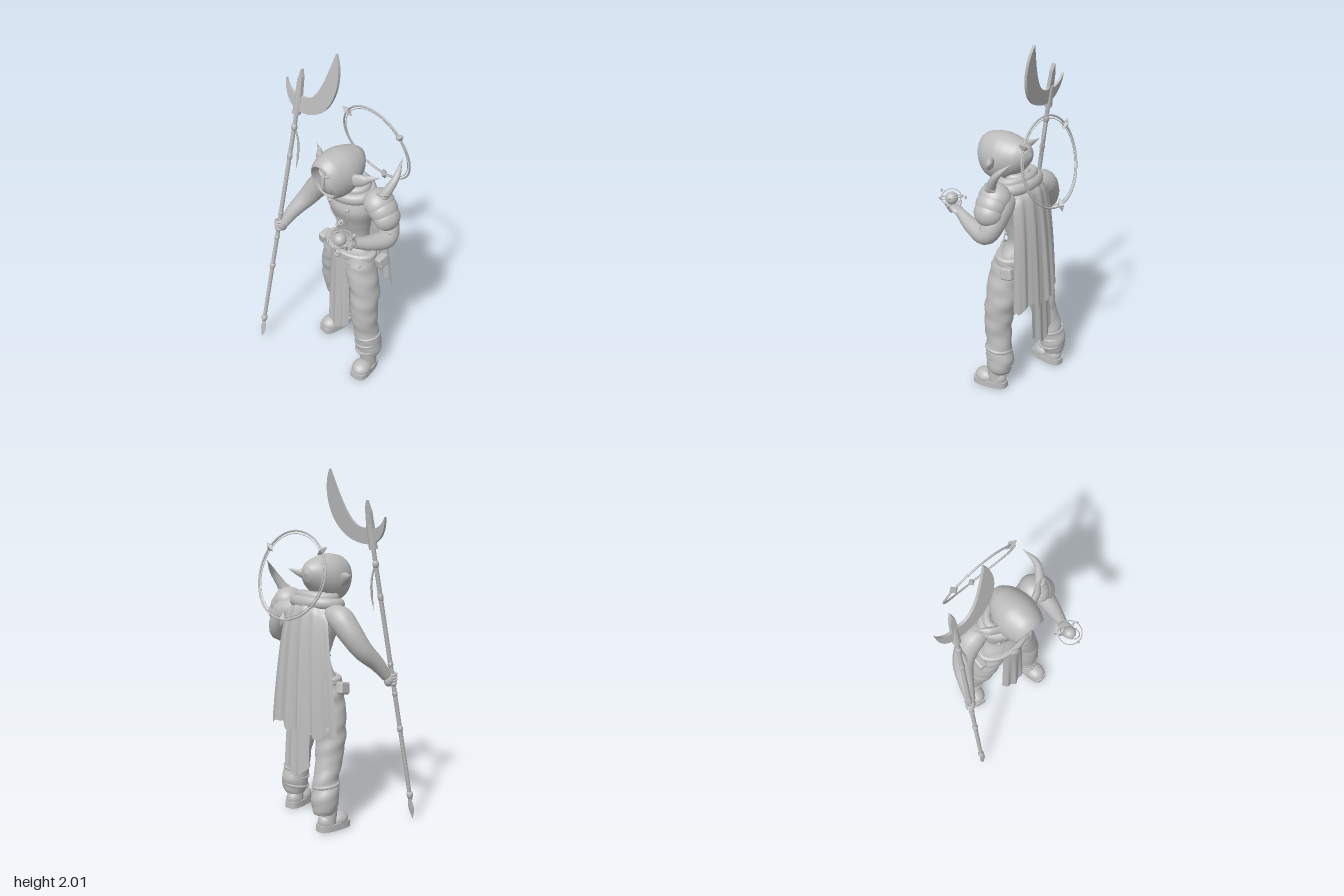
import * as THREE from 'three';
import { mergeVertices } from 'three/addons/utils/BufferGeometryUtils.js';
import { RoundedBoxGeometry } from 'three/addons/geometries/RoundedBoxGeometry.js';

const grey = new THREE.MeshStandardMaterial({ color: 0xbcbcbc, side: THREE.DoubleSide });
grey.name = 'grey';
const V = (p) => new THREE.Vector3(...p);
const CX = 0.065; // body centre line

export function createModel() {
  const model = new THREE.Group();
  model.name = 'hoodedStaffBearer';

  const add = (name, geo, pos = [0, 0, 0], rot = [0, 0, 0], scale = [1, 1, 1], parent = model) => {
    const m = new THREE.Mesh(geo, grey);
    m.name = name;
    m.position.set(...pos);
    m.rotation.set(...rot);
    m.scale.set(...scale);
    parent.add(m);
  };
  const smooth = (geo) => {
    geo.deleteAttribute('uv');
    geo.deleteAttribute('normal');
    const g = mergeVertices(geo, 1e-5);
    g.computeVertexNormals();
    return g;
  };
  const warp = (geo, rule) => {
    const p = geo.attributes.position;
    for (let i = 0; i < p.count; i++) p.setXYZ(i, ...rule(p.getX(i), p.getY(i), p.getZ(i), i));
    return geo;
  };
  // stacked ellipses, rows of [y, cx, cz, rx, rz] from bottom to top
  const stack = (rows, wrinkle = () => 0, seg = 32) => {
    const mid = new THREE.CatmullRomCurve3(rows.map((r) => V([r[1], r[0], r[2]])));
    const rad = new THREE.CatmullRomCurve3(rows.map((r) => V([r[3], r[4], 0])));
    const g = new THREE.CylinderGeometry(1, 1, 1, seg, (rows.length - 1) * 7);
    return smooth(warp(g, (x, y, z) => {
      const t = THREE.MathUtils.clamp(y + 0.5, 0, 1), c = mid.getPoint(t), r = rad.getPoint(t);
      const w = 1 + wrinkle(c.y, Math.atan2(x, z));
      return [c.x + x * r.x * w, c.y, c.z + z * r.y * w];
    }));
  };
  // tube along points with a changing radius
  const limb = (pts, radii, sides = 16, n = 32) => {
    const curve = new THREE.CatmullRomCurve3(pts.map(V));
    const g = new THREE.TubeGeometry(curve, n, 1, sides);
    return smooth(warp(g, (x, y, z, i) => {
      const t = Math.floor(i / (sides + 1)) / n, c = curve.getPointAt(t);
      const f = t * (radii.length - 1), k = Math.min(Math.floor(f), radii.length - 2);
      const r = Math.max(THREE.MathUtils.lerp(radii[k], radii[k + 1], f - k), 0.0005);
      return [c.x + (x - c.x) * r, c.y + (y - c.y) * r, c.z + (z - c.z) * r];
    }));
  };
  const ball = new THREE.SphereGeometry(1, 28, 18);
  const gem = new THREE.OctahedronGeometry(1);
  const outline = (pts, depth) => new THREE.ExtrudeGeometry(
    new THREE.Shape(pts.map((p) => new THREE.Vector2(...p))), { depth, bevelEnabled: false });

  // torso, coat and belt
  add('torso', stack([
    [0.80, CX, -0.055, 0.165, 0.095], [0.86, CX, -0.06, 0.145, 0.09], [0.94, CX, -0.075, 0.106, 0.073],
    [1.05, CX, -0.065, 0.127, 0.09], [1.15, CX, -0.055, 0.162, 0.108], [1.22, CX, -0.065, 0.17, 0.098],
    [1.28, CX, -0.06, 0.1, 0.08], [1.33, CX, -0.03, 0.06, 0.06]]));
  add('belt', stack([[0.815, CX, -0.055, 0.172, 0.105], [0.825, CX, -0.055, 0.18, 0.11],
    [0.85, CX, -0.055, 0.178, 0.11], [0.86, CX, -0.055, 0.165, 0.1]]));
  add('buckle', new THREE.TorusGeometry(0.022, 0.008, 8, 24), [CX, 0.842, 0.058]);
  add('buckleStone', ball, [CX, 0.842, 0.056], [0, 0, 0], [0.012, 0.012, 0.01]);
  add('medallion', new THREE.TorusGeometry(0.02, 0.006, 8, 24), [CX, 1.05, 0.03], [-0.15, 0, 0]);
  add('medallionStone', ball, [CX, 1.05, 0.03], [0, 0, 0], [0.011, 0.011, 0.01]);
  for (const s of [-1, 1]) {
    add('coatEdge', limb([[CX + s * 0.05, 1.23, 0.025], [CX + s * 0.07, 1.12, 0.038],
      [CX + s * 0.03, 1.02, 0.02], [CX + s * 0.07, 0.87, 0.015]], [0.004, 0.004, 0.004], 8));
    for (const [y, z] of [[1.17, 0.045], [0.965, -0.012]])
      add('coatStud', ball, [CX + s * 0.068, y, z], [0, 0, 0], [0.011, 0.011, 0.011]);
    add('hipPouch', new RoundedBoxGeometry(0.05, 0.07, 0.075, 3, 0.012),
      [CX + s * 0.195, 0.8, s > 0 ? -0.11 : -0.04], [0.2, 0, s * 0.15]);
  }
  for (let i = 0; i < 3; i++)
    add('beltTassel', new THREE.CapsuleGeometry(0.006, 0.05, 4, 8), [0.155 + i * 0.03, 0.785 - (i % 2) * 0.015, 0.05 - i * 0.012]);

  // cloth panels: front tabard, back tabard and cape
  const cloth = (name, rule) => add(name, smooth(warp(new THREE.PlaneGeometry(2, 1, 64, 30),
    (x, y) => rule(x, 0.5 - y))));
  cloth('frontTabard', (u, v) => [CX + u * (0.072 + 0.014 * v), 0.835 - v * (0.575 - 0.055 * Math.abs(u)),
    0.058 + 0.012 * v - 0.025 * u * u + 0.007 * v * Math.cos(u * 9)]);
  cloth('backTabard', (u, v) => [CX + u * (0.08 + 0.015 * v), 0.9 - v * (0.62 - 0.07 * Math.abs(u)),
    -0.2 - 0.028 * v + 0.02 * u * u + 0.005 * v * Math.cos(u * 9)]);
  cloth('cape', (u, v) => [CX + u * (0.15 + 0.085 * Math.pow(v, 0.7)) - 0.008 * v,
    1.275 - 0.05 * u * u * (1 - v) - v * (0.715 + 0.015 * Math.sin(u * 9) - 0.03 * u + 0.008 * Math.cos(u * 21)),
    -0.145 - 0.085 * Math.pow(v, 0.4) + (u < 0 ? 0.045 + 0.05 * v : 0.045) * u * u
      + (0.003 + 0.006 * v) * Math.sin(u * 14) + 0.003 * v * Math.cos(u * 31)]);

  // legs and boots
  const leg = (side, s, cz) => {
    const dev = [0.178, 0.18, 0.178, 0.168, 0.155, 0.145, 0.105, 0.085];
    const ys = [0.1, 0.125, 0.2, 0.3, 0.45, 0.6, 0.75, 0.85];
    const rx = [0.06, 0.071, 0.078, 0.07, 0.08, 0.08, 0.088, 0.08];
    const rz = [0.06, 0.072, 0.081, 0.076, 0.084, 0.093, 0.096, 0.085];
    add(side + 'Trouser', stack(ys.map((y, i) => [y, CX + s * dev[i], cz[i], rx[i], rz[i]]),
      (y, a) => (y < 0.8 ? 0.03 * Math.sin(y * 45 + 2 * Math.sin(a + s) + s) + 0.025 * Math.sin(y * 71 + 2 * a * s) : 0)));
    for (let i = 0; i < 3; i++)
      add(side + 'ShinWrap', new THREE.TorusGeometry(0.069, 0.01, 8, 32),
        [CX + s * 0.175, 0.15 + i * 0.055, cz[2] + i * 0.005], [Math.PI / 2 + 0.15 - i * 0.1, 0.12 * s, 0], [1, 1.05, 1]);
    const boot = new THREE.Group();
    boot.name = side + 'Boot';
    boot.position.set(CX + s * 0.2, 0, cz[0] + 0.052);
    boot.rotation.y = s * 0.17;
    model.add(boot);
    const sole = [];
    for (let i = 0; i < 28; i++) {
      const a = (i / 28) * Math.PI * 2, c = Math.cos(a), q = Math.sin(a);
      sole.push([Math.sign(c) * Math.pow(Math.abs(c), 0.6) * (0.055 + 0.007 * q), Math.sign(q) * Math.pow(Math.abs(q), 0.7) * 0.105]);
    }
    add('sole', outline(sole, 0.038), [0, 0.038, 0], [Math.PI / 2, 0, 0], [1, 1, 1], boot);
    add('toe', ball, [0, 0.045, 0.033], [0, 0, 0], [0.057, 0.047, 0.066], boot);
    add('heel', ball, [0, 0.05, -0.04], [0, 0, 0], [0.048, 0.055, 0.058], boot);
    add('ankle', new THREE.CylinderGeometry(0.046, 0.05, 0.12, 24), [0, 0.1, -0.03], [0.15, 0, 0], [1, 1, 1], boot);
  };
  leg('left', 1, [-0.04, -0.04, -0.038, -0.025, -0.015, -0.03, -0.035, -0.05]);
  leg('right', -1, [-0.18, -0.174, -0.168, -0.145, -0.1, -0.08, -0.06, -0.055]);

  // hood: ellipses from back to front, folded inside at the rim
  const hoodRows = [[-0.13, 1.435, 0.006, 0.007], [-0.115, 1.432, 0.042, 0.045], [-0.07, 1.42, 0.086, 0.088],
    [0, 1.403, 0.115, 0.125], [0.05, 1.396, 0.121, 0.138], [0.11, 1.388, 0.112, 0.133],
    [0.155, 1.378, 0.095, 0.113], [0.163, 1.377, 0.087, 0.102], [0.14, 1.376, 0.082, 0.096], [0.09, 1.376, 0.078, 0.09]];
  const hood = stack(hoodRows.map(([z, y, rx, ry]) => [z, CX, -y, rx, ry]), undefined, 40).rotateX(Math.PI / 2);
  warp(hood, (x, y, z) => [x, y, z + 0.25 * (y - 1.39) * THREE.MathUtils.smoothstep(z, 0, 0.15)]);
  hood.computeVertexNormals();
  add('hood', hood);
  // face mask
  add('mask', ball, [CX, 1.37, 0.078], [-0.1, 0, 0], [0.076, 0.1, 0.076]);
  add('maskRidge', limb([[CX, 1.455, 0.142], [CX, 1.4, 0.158], [CX, 1.345, 0.16], [CX, 1.29, 0.125]], [0.004, 0.01, 0.012, 0.004], 8));
  for (const s of [-1, 1]) {
    add('brow', limb([[CX, 1.405, 0.156], [CX + s * 0.03, 1.42, 0.148], [CX + s * 0.062, 1.415, 0.125]], [0.008, 0.01, 0.004], 8));
    for (let i = 1; i < 4; i++)
      add('cheekBar', limb([[CX + s * i * 0.017, 1.38, 0.153 - i * 0.006], [CX + s * i * 0.019, 1.34, 0.15 - i * 0.007],
        [CX + s * i * 0.013, 1.295, 0.127 - i * 0.003]], [0.003, 0.007, 0.003], 8));
    // thin pointed ears, swept back
    add('ear', limb([[CX + s * 0.1, 1.393, 0.1], [CX + s * 0.15, 1.405, 0.05], [CX + s * 0.19, 1.418, -0.03],
      [CX + s * 0.24, 1.437, -0.09]], [0.036, 0.033, 0.019, 0]), [0, 0, 0.015], [0, 0, 0], [1, 1, 0.4]);
  }
  // rolled collar
  for (const [y, r, t] of [[1.265, 0.142, 0.034], [1.3, 0.115, 0.026]])
    add('collar', new THREE.TorusGeometry(r, t, 14, 48), [CX, y, -0.035], [Math.PI / 2 + 0.12, 0, 0], [1, 0.72, 1]);

  // halo with three gems, tilted back
  const halo = new THREE.Group();
  halo.name = 'halo';
  halo.position.set(CX - 0.003, 1.437, -0.255);
  halo.rotation.x = 0.26;
  model.add(halo);
  const bend = (g) => warp(g, (x, y, z) => [x, y, z + 0.01 - 0.22 * y * y]);
  add('outerRing', bend(new THREE.TorusGeometry(0.243, 0.0055, 8, 80)), [0, 0, 0], [0, 0, 0], [1, 1, 1], halo);
  add('innerRing', bend(new THREE.TorusGeometry(0.228, 0.0022, 6, 80)), [0, 0, 0], [0, 0, 0], [1, 1, 1], halo);
  for (const a of [0.64, Math.PI - 0.64, -Math.PI / 2]) {
    const y = 0.243 * Math.sin(a);
    add('haloGem', gem, [0.243 * Math.cos(a), y, 0.01 - 0.22 * y * y], [0, 0, a - Math.PI / 2], [0.022, 0.04, 0.022], halo);
  }

  // right arm gripping the staff
  add('rightArm', limb([[-0.04, 1.215, -0.065], [-0.13, 1.2, -0.07], [-0.2, 1.125, -0.06], [-0.255, 1.035, -0.025],
    [-0.3, 0.945, 0.055], [-0.325, 0.87, 0.11]], [0.05, 0.074, 0.067, 0.057, 0.044, 0.03]));
  add('rightHand', ball, [-0.335, 0.855, 0.12], [0.3, 0, 0], [0.028, 0.042, 0.034]);
  for (let i = 0; i < 4; i++)
    add('rightFinger', new THREE.TorusGeometry(0.019, 0.008, 8, 16), [-0.346, 0.883 - i * 0.017, 0.135], [Math.PI / 2 - 0.17, 0, 0]);

  // left arm holding out an orb
  add('leftArm', limb([[0.17, 1.215, -0.065], [0.26, 1.2, -0.07], [0.33, 1.12, -0.07], [0.355, 1.065, -0.04],
    [0.34, 1.075, 0.06], [0.31, 1.115, 0.17]], [0.05, 0.075, 0.062, 0.054, 0.042, 0.027]));
  add('leftHand', ball, [0.3, 1.122, 0.2], [-0.3, -0.2, 0], [0.036, 0.017, 0.045]);
  for (let i = 0; i < 5; i++) {
    const a = -1.5 + i * 0.75, x = 0.295 + Math.sin(a) * 0.035, z = 0.215 + Math.cos(a) * 0.03;
    add('leftFinger', limb([[0.298, 1.12, 0.21], [x, 1.12, z], [x + Math.sin(a) * 0.022, 1.15, z + Math.cos(a) * 0.02]], [0.01, 0.009, 0.004], 8, 12));
  }
  add('orb', ball, [0.283, 1.17, 0.25], [0, 0, 0], [0.036, 0.036, 0.036]);
  const orbit = [0.283, 1.175, 0.253];
  add('orbRing', new THREE.TorusGeometry(0.066, 0.003, 6, 48), orbit, [Math.PI / 2 + 0.25, 0.2, 0]);
  add('orbRing', new THREE.TorusGeometry(0.054, 0.003, 6, 48), orbit, [Math.PI / 2 - 0.3, -0.5, 0]);
  for (const [x, z] of [[-0.064, -0.05], [0.072, -0.02], [-0.01, 0.075]])
    add('orbShard', gem, [orbit[0] + x, orbit[1] + z * 0.25, orbit[2] + z], [0, 0, 0], [0.009, 0.014, 0.009]);

  // shoulder guard and its horn
  for (const [x, y, r, tilt] of [[0.335, 1.19, 0.076, -1.0], [0.31, 1.228, 0.08, -0.75], [0.28, 1.255, 0.084, -0.4]])
    add('shoulderPlate', new THREE.SphereGeometry(r, 32, 14, 0, Math.PI * 2, 0, Math.PI * 0.5), [x, y, -0.045], [0, 0, tilt], [1, 0.95, 1.08]);
  add('hornCollar', new THREE.TorusGeometry(0.032, 0.008, 8, 24), [0.312, 1.325, -0.045], [Math.PI / 2 - 0.4, 0.3, 0]);
  add('shoulderHorn', limb([[0.3, 1.29, -0.03], [0.33, 1.36, -0.065], [0.342, 1.42, -0.105], [0.312, 1.498, -0.183]], [0.033, 0.025, 0.016, 0]));

  // staff, placed by height along its leaning line, with a flat leaf at the foot
  const at = (y) => [-0.4 + 0.0636 * y, y, 0.283 - 0.172 * y];
  const lean = [-0.17, 0, -0.063];
  add('staffShaft', limb([at(0.12), at(0.9), at(1.7)], [0.012, 0.013, 0.012], 12));
  add('staffLeaf', stack([[0, 0.001], [0.035, 0.014], [0.075, 0.021], [0.11, 0.016], [0.135, 0.006]].map(([y, r]) => {
    const [x, h, z] = at(y);
    return [h, x + 0.004, z, r, 0.2 * r + 0.0005];
  }), undefined, 16));
  for (const [y, r, h] of [[0.15, 0.019, 0.026], [0.56, 0.018, 0.024], [0.77, 0.016, 0.022], [0.83, 0.017, 0.024],
    [0.94, 0.016, 0.022], [1.32, 0.016, 0.03], [1.5, 0.018, 0.026]])
    add('staffKnob', ball, at(y), lean, [r, h, r]);
  add('bladeSocket', new THREE.CylinderGeometry(0.018, 0.024, 0.13, 8), at(1.645), lean);
  add('staffRibbon', limb([at(1.51), [-0.283, 1.42, 0.02], [-0.272, 1.33, 0.035], [-0.276, 1.24, 0.05]], [0.004, 0.006, 0.007, 0], 8));

  // crescent blade with back hook and top prong, leaning with the staff
  const blade = new THREE.Shape();
  blade.moveTo(-0.055, 2.0);
  blade.bezierCurveTo(0.025, 1.88, -0.02, 1.61, -0.27, 1.605);
  blade.bezierCurveTo(-0.35, 1.61, -0.395, 1.67, -0.4, 1.755);
  blade.bezierCurveTo(-0.37, 1.7, -0.33, 1.68, -0.27, 1.695);
  blade.bezierCurveTo(-0.17, 1.68, -0.12, 1.8, -0.055, 2.0);
  const prong = outline([[-0.315, 1.66], [-0.27, 1.66], [-0.275, 1.8], [-0.288, 1.84], [-0.306, 1.78]], 0.022);
  const crescent = new THREE.ExtrudeGeometry(blade, { depth: 0.016, bevelEnabled: false, curveSegments: 20 });
  for (const [name, g] of [['blade', crescent], ['bladeProng', prong]]) {
    warp(g, (x, y, z) => [x, y, z - 0.01 - 0.165 * (y - 1.655)]);
    g.computeVertexNormals();
    add(name, g);
  }
  return model;
}
